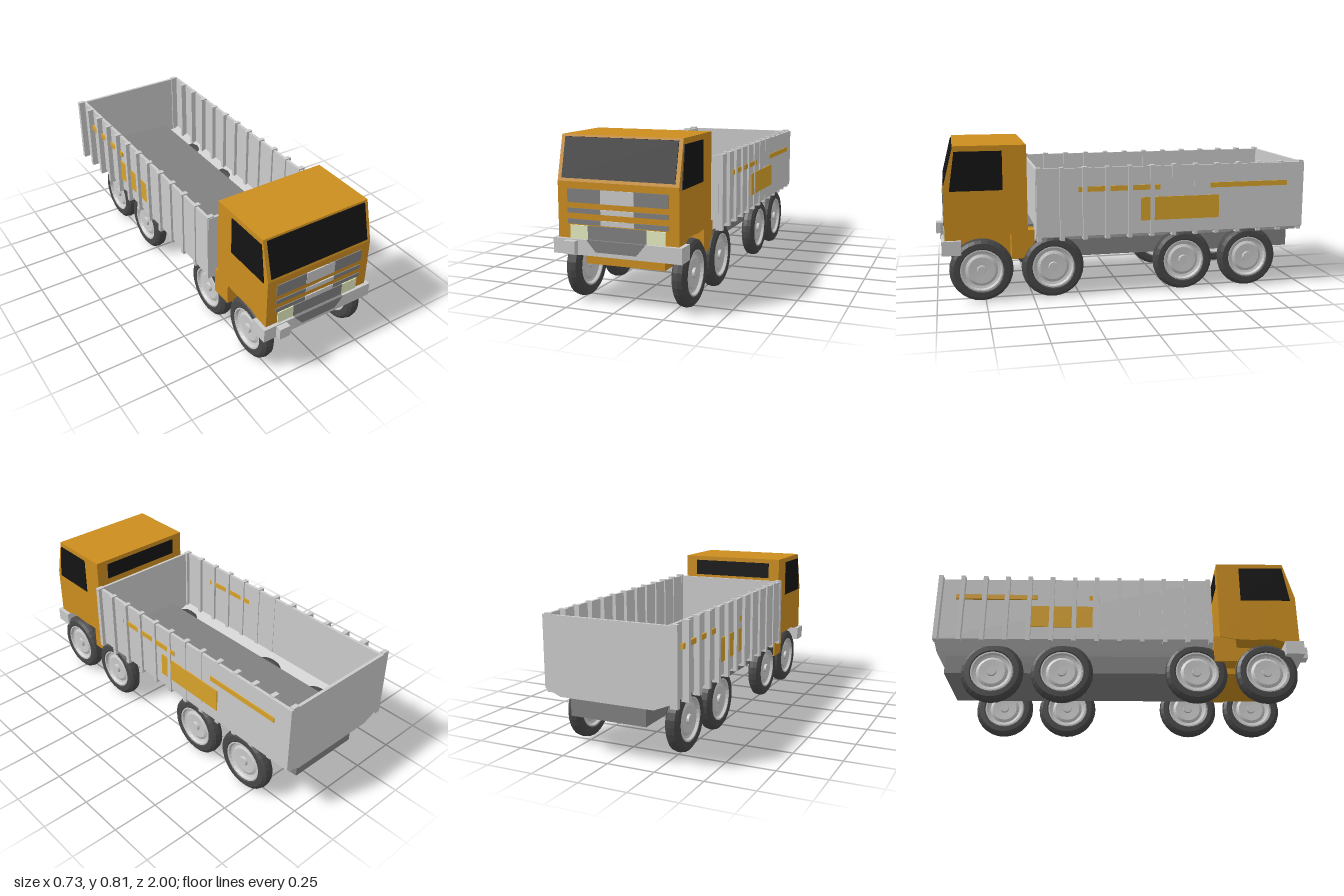
import * as THREE from 'three';

const mat = (color, flat = true) =>
  new THREE.MeshStandardMaterial({ color, flatShading: flat, side: THREE.DoubleSide });
const GREY = mat(0xcccccc), DARK = mat(0x808080), ORANGE = mat(0xcc8e1f), DECAL = mat(0xd9a32a);
const BLACK = mat(0x141414), LAMP = mat(0xe6ecc0), TYRE = mat(0x484848);

export function createModel() {
  const truck = new THREE.Group();

  const add = (name, geo, material, parent = truck) => {
    const m = new THREE.Mesh(geo, material);
    m.name = name;
    parent.add(m);
    return m;
  };
  // Box given by its extents on each axis
  const box = (name, [x0, x1], [y0, y1], [z0, z1], material, parent) => {
    const g = new THREE.BoxGeometry(x1 - x0, y1 - y0, z1 - z0);
    g.translate((x0 + x1) / 2, (y0 + y1) / 2, (z0 + z1) / 2);
    return add(name, g, material, parent);
  };
  const shape = pts => new THREE.Shape(pts.map(p => new THREE.Vector2(...p)));
  const extrude = (pts, depth) =>
    new THREE.ExtrudeGeometry(shape(pts), { depth, bevelEnabled: false });
  // Side profile (z, y) swept across x
  const side = (name, pts, x0, x1, material) =>
    add(name, extrude(pts, x1 - x0).rotateY(-Math.PI / 2).translate(x1, 0, 0), material);
  // Front profile (x, y) swept along z
  const front = (name, pts, z0, z1, material) =>
    add(name, extrude(pts, z1 - z0).translate(0, 0, z0), material);

  // Cab with raked windscreen and raised wheel arch
  side('cab', [
    [0.525, 0.815], [0.895, 0.815], [0.95, 0.6], [0.95, 0.33], [0.88, 0.33],
    [0.82, 0.35], [0.7, 0.345], [0.6, 0.35], [0.525, 0.365],
  ], -0.305, 0.31, ORANGE);
  side('windscreen', [[0.94, 0.615], [0.95, 0.615], [0.902, 0.805], [0.892, 0.805]],
    -0.285, 0.29, BLACK);
  const pane = [[0.92, 0.585], [0.65, 0.585], [0.65, 0.787], [0.89, 0.787]];
  side('leftWindow', pane, 0.305, 0.315, BLACK);
  side('rightWindow', pane, -0.31, -0.3, BLACK);
  box('rearWindow', [-0.24, 0.24], [0.7, 0.79], [0.52, 0.53], BLACK);

  // Cab underbody and rear steps
  box('cabUnderbody', [-0.2, 0.21], [0.192, 0.36], [0.52, 0.88], ORANGE);
  box('cabStep', [-0.3, 0.305], [0.222, 0.367], [0.49, 0.61], ORANGE);

  // Grille bars, dark with a pale centre
  [[0.502, 0.567], [0.452, 0.475], [0.4, 0.423]].forEach(y => {
    box('grilleBar', [-0.253, 0.258], y, [0.94, 0.955], DARK);
    box('grilleCentre', [-0.08, 0.09], y, [0.94, 0.957], GREY);
  });

  // Headlights, lower grille and bumper
  box('rightHeadlight', [-0.24, -0.148], [0.33, 0.395], [0.94, 0.956], LAMP);
  box('leftHeadlight', [0.152, 0.245], [0.33, 0.395], [0.94, 0.956], LAMP);
  box('lowerGrille', [-0.148, 0.152], [0.33, 0.395], [0.94, 0.956], DARK);
  box('bumper', [-0.325, 0.33], [0.255, 0.33], [0.87, 0.968], GREY);
  front('bumperInsert', [[-0.148, 0.331], [-0.1, 0.275], [0.105, 0.275], [0.152, 0.331]],
    0.94, 0.972, DARK);
  box('numberPlate', [-0.255, -0.195], [0.263, 0.325], [0.966, 1.0], GREY);

  // Chassis spine running through the bed floor
  box('chassis', [-0.19, 0.218], [0.195, 0.38], [-0.962, 0.52], DARK);

  // Open cargo bed: chamfered channel closed by end walls
  const outer = [[-0.336, 0.69], [-0.336, 0.33], [-0.25, 0.295],
    [0.25, 0.295], [0.336, 0.33], [0.336, 0.69]];
  const inner = [[0.32, 0.69], [0.32, 0.336], [0.247, 0.307],
    [-0.247, 0.307], [-0.32, 0.336], [-0.32, 0.69]];
  front('bedChannel', [...outer, ...inner], -0.985, 0.47, GREY);
  front('tailgate', outer, -1, -0.984, GREY);
  front('bedFrontWall', outer, 0.47, 0.485, GREY);

  // Ribs and colour panels drift slightly sideways along the bed
  const drift = 0.022;
  for (let i = 0; i < 13; i++) {
    const z = 0.47 - i * 0.1215;
    for (const x of [0.327 + drift * z, -0.331 + drift * z])
      box('bedRib', [x - 0.019, x + 0.019], [0.312, 0.697], [z - 0.012, z + 0.012], GREY);
  }
  const panels = [
    [[-0.18, 0.26], [0.565, 0.592]], [[-0.9, -0.46], [0.565, 0.592]], [[-0.51, -0.075], [0.4, 0.525]],
  ];
  for (const [z, y] of panels) {
    box('leftColourPanel', [0.325, 0.341], y, z, DECAL);
    const zm = (z[0] + z[1]) / 2, len = z[1] - z[0];
    const p = add('rightColourPanel', new THREE.BoxGeometry(0.014, y[1] - y[0], len), DECAL);
    p.position.set(-0.329 + drift * (zm + 0.16), (y[0] + y[1]) / 2, zm);
    p.rotation.y = drift;
  }

  // Wheels: lathed tyre, dished rim and hub, alike on both faces
  const lathe = pts =>
    new THREE.LatheGeometry(pts.map(p => new THREE.Vector2(...p)), 28).rotateZ(Math.PI / 2);
  const tyre = lathe([[0.11, -0.03], [0.118, -0.035], [0.145, -0.034], [0.161, -0.022], [0.166, 0],
    [0.161, 0.022], [0.145, 0.034], [0.118, 0.035], [0.11, 0.03], [0.11, -0.03]]);
  const half = [[0.0, 0.033], [0.024, 0.033], [0.026, 0.02], [0.07, 0.022], [0.085, 0.014],
    [0.098, 0.018], [0.104, 0.032], [0.112, 0.032]];
  const rim = lathe([...half.map(([r, h]) => [r, -h]), ...half.slice().reverse()]);
  for (const z of [0.768, 0.394, -0.32, -0.69])
    for (const x of [-0.256, 0.29]) {
      const wheel = new THREE.Group();
      wheel.name = 'wheel';
      add('tyre', tyre, TYRE, wheel);
      add('rim', rim, GREY, wheel);
      wheel.position.set(x, 0.166, z);
      truck.add(wheel);
    }

  return truck;
}
